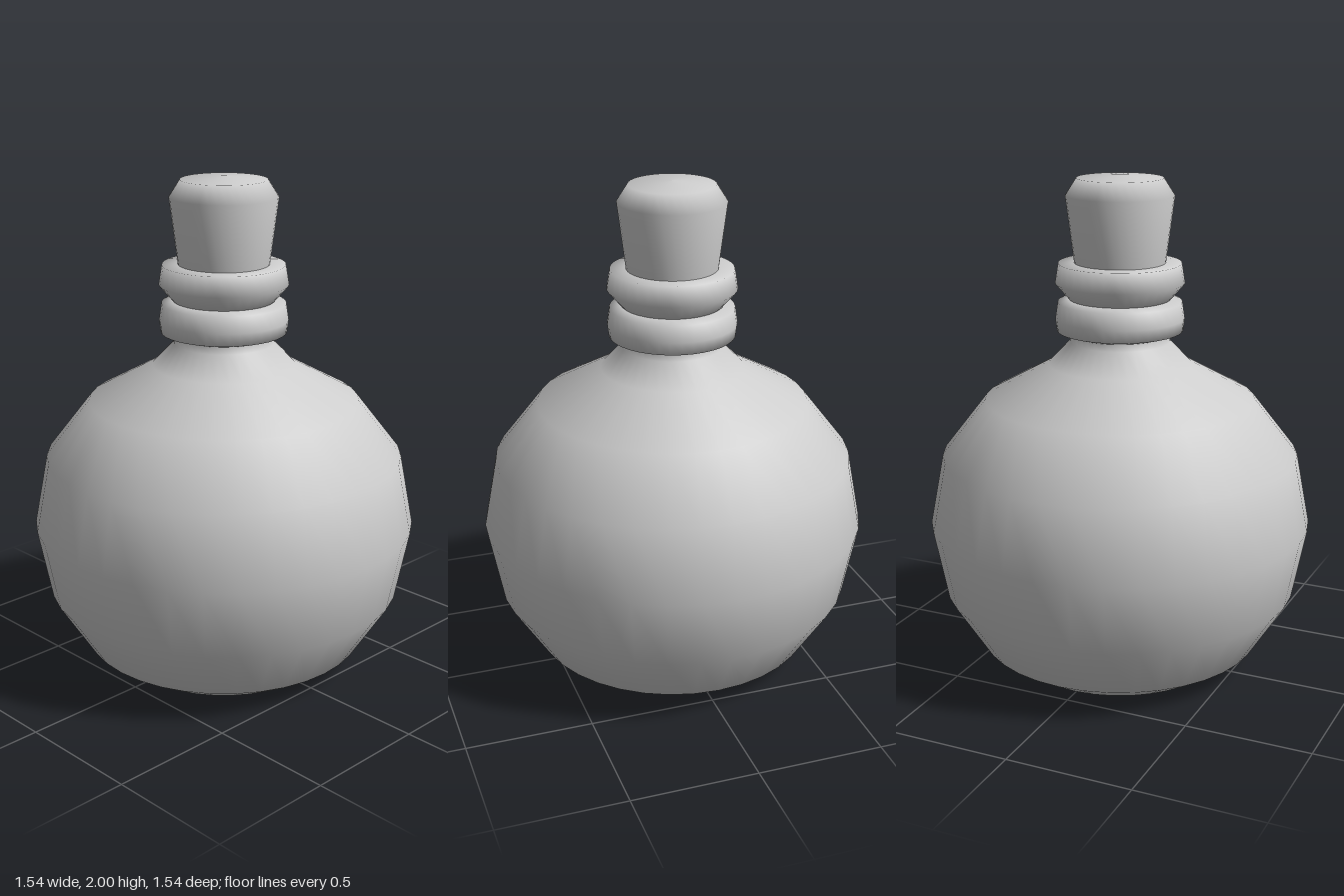
import * as THREE from 'three';

const SIDES = 36;

export function createModel() {
  const group = new THREE.Group();
  const grey = new THREE.MeshStandardMaterial({ color: 0xcccccc });
  grey.name = 'plain grey';

  // Smooth turned part from a bottom-to-top profile of [radius, height]
  const turn = (name, profile) => {
    const points = profile.map(([r, y]) => new THREE.Vector2(r, y));
    const mesh = new THREE.Mesh(new THREE.LatheGeometry(points, SIDES), grey);
    mesh.name = name;
    group.add(mesh);
  };

  // Round flask with a flat foot and short neck
  turn('flaskBody', [
    [0, 0], [0.43, 0.005], [0.57, 0.09], [0.715, 0.32], [0.77, 0.605],
    [0.715, 0.89], [0.54, 1.115], [0.285, 1.255], [0.2, 1.345], [0.2, 1.39],
  ]);

  // Two collars around the neck
  turn('lowerCollar', [
    [0.17, 1.375], [0.2, 1.375], [0.25, 1.39], [0.256, 1.44],
    [0.246, 1.505], [0.2, 1.517], [0.17, 1.517],
  ]);
  turn('upperCollar', [
    [0.17, 1.515], [0.2, 1.515], [0.256, 1.58], [0.243, 1.658], [0.16, 1.66],
  ]);

  // Tapered stopper with a softly domed top
  turn('stopper', [
    [0.165, 1.55], [0.18, 1.66], [0.213, 1.92], [0.17, 1.987], [0, 2],
  ]);

  return group;
}
